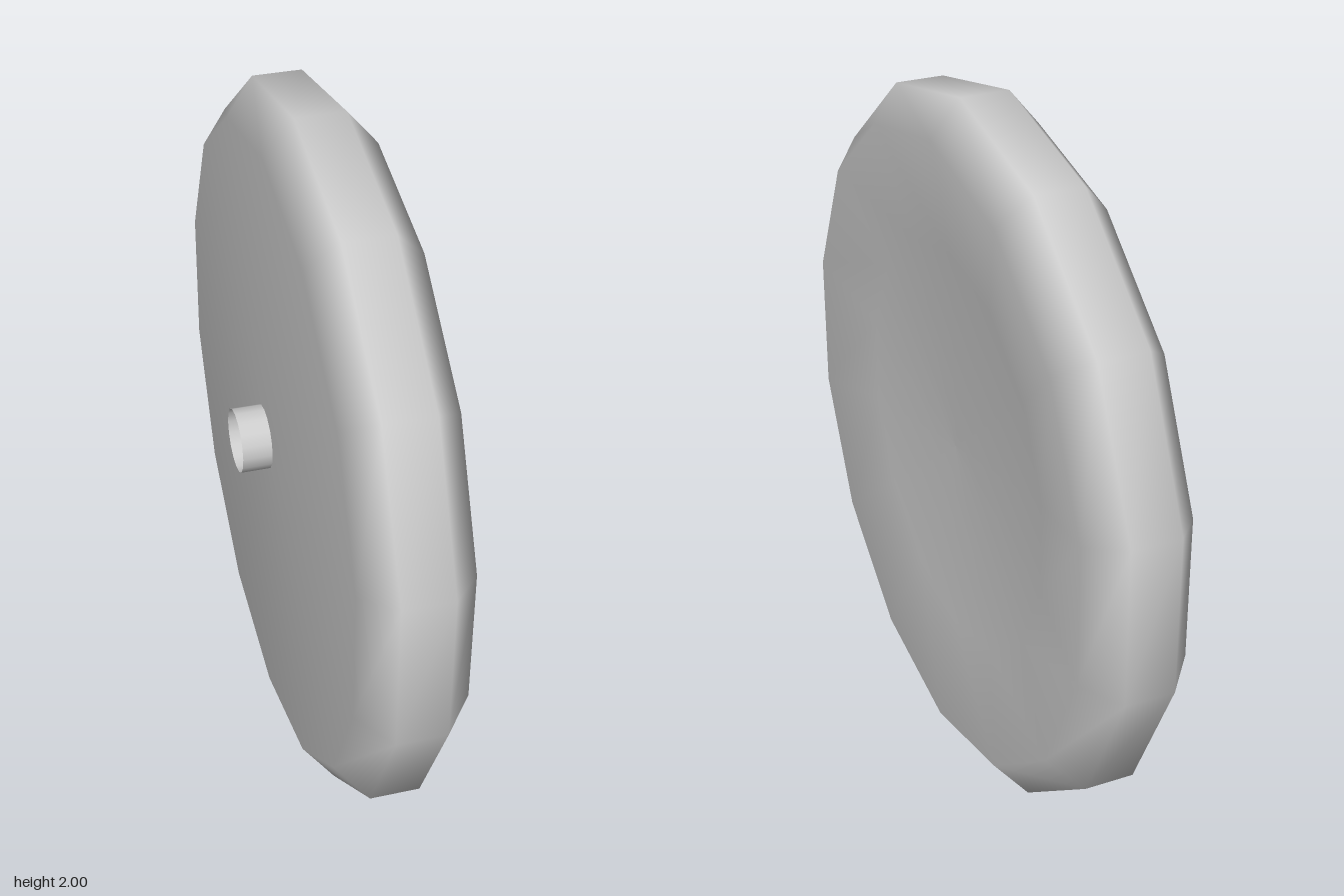
import * as THREE from 'three';

const SIDES = 14;

// Turns a [radius, x] profile about the x axis, with a corner pointing straight up
function turned(name, profile, sides, side = THREE.FrontSide) {
  const points = profile.map(([r, x]) => new THREE.Vector2(r, x));
  const geometry = new THREE.LatheGeometry(points, sides, Math.PI / 2);
  geometry.rotateZ(-Math.PI / 2);
  const material = new THREE.MeshStandardMaterial({ color: 0xcccccc, side });
  const mesh = new THREE.Mesh(geometry, material);
  mesh.name = name;
  return mesh;
}

export function createModel() {
  const model = new THREE.Group();
  model.name = 'wheel';

  // Solid disc with chamfered rim, flat on the hub side and gently dished on the other
  const disc = turned('disc', [
    [0, -0.115], [0.9, -0.112], [1, -0.03],
    [1, 0.107], [0.9, 0.19], [0.58, 0.14], [0, 0.13],
  ], SIDES);
  disc.position.y = 1;
  model.add(disc);

  // Short open axle socket, slightly above the disc centre
  const hub = turned('axleSocket', [[0.09, -0.197], [0.09, -0.11]], 16, THREE.DoubleSide);
  hub.position.set(0, 1.028, -0.003);
  model.add(hub);

  return model;
}
